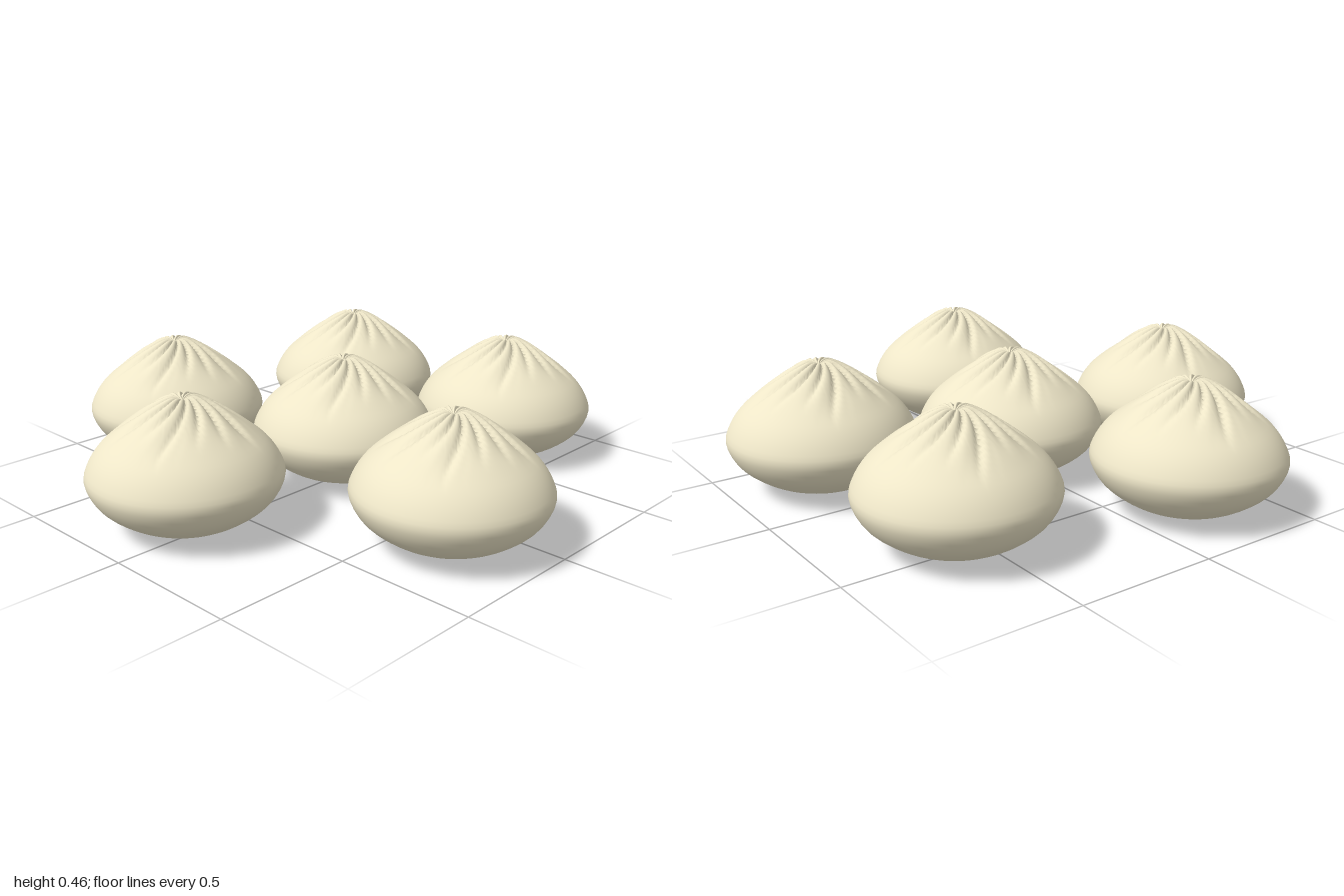
import * as THREE from 'three';
import { mergeVertices } from 'three/addons/utils/BufferGeometryUtils.js';

const PLEATS = 13;
const SEGMENTS = PLEATS * 14;
const RINGS = 44;

// Half outline of a bun: radius, height, from the underside to the gathered top
const OUTLINE = [
  [0, 0.005], [0.1, 0.011], [0.18, 0.034], [0.25, 0.073], [0.305, 0.122],
  [0.335, 0.187], [0.32, 0.24], [0.285, 0.291], [0.235, 0.337], [0.18, 0.381],
  [0.125, 0.422], [0.08, 0.45], [0.045, 0.464], [0.018, 0.458], [0, 0.445],
];

// Fold depth (0..1) around the bun: steep on one side, soft on the other
function foldAt(angle, r) {
  const twist = 0.85 * Math.pow(Math.max(0, 1 - r / 0.26), 1.6);
  const turn = (angle + 1.88 + twist) / (Math.PI * 2);
  const u = (turn - Math.floor(turn)) * PLEATS;
  const index = Math.floor(u + 0.5) % PLEATS;
  const t = u - Math.floor(u);
  const crease = Math.exp(-t * 4.5) + Math.exp(-(1 - t) * 13) * 0.9;
  // Each pleat reaches a slightly different distance down the side
  const reach = 0.25 + 0.035 * Math.sin(index * 2.4);
  const fade = THREE.MathUtils.smoothstep(reach - r, 0, 0.15);
  return Math.min(1, crease) * fade;
}

function bunGeometry() {
  const curve = new THREE.SplineCurve(OUTLINE.map(([r, y]) => new THREE.Vector2(r, y)));
  const points = curve.getPoints(RINGS);
  points.forEach((p) => { p.x = Math.max(0, p.x); });
  let geometry = new THREE.LatheGeometry(points, SEGMENTS);
  geometry.deleteAttribute('uv');
  geometry.deleteAttribute('normal');
  geometry = mergeVertices(geometry, 1e-5);

  // Press the swirling pleats into the upper surface
  const pos = geometry.attributes.position;
  for (let i = 0; i < pos.count; i++) {
    const x = pos.getX(i), y = pos.getY(i), z = pos.getZ(i);
    const r = Math.hypot(x, z);
    if (y < 0.2 || r < 0.004) continue;
    const fold = foldAt(Math.atan2(z, x), r) * Math.min(1, r / 0.06);
    const inward = 1 - fold * 0.012 / Math.max(r, 0.05);
    pos.setXYZ(i, x * inward, y - fold * 0.028, z * inward);
  }
  geometry.computeVertexNormals();
  return geometry;
}

export function createModel() {
  const group = new THREE.Group();
  group.name = 'steamedBuns';
  const geometry = bunGeometry();
  const dough = new THREE.MeshStandardMaterial({ color: 0xeee6c8 });

  // Loose ring of five buns around a middle one
  const places = {
    backRightBun: [-0.455, -0.563],
    backLeftBun: [0.265, -0.665],
    middleBun: [-0.01, -0.036],
    rightBun: [-0.662, 0.235],
    leftBun: [0.657, 0.155],
    frontBun: [-0.075, 0.66],
  };
  for (const [name, [x, z]] of Object.entries(places)) {
    const bun = new THREE.Mesh(geometry, dough);
    bun.name = name;
    bun.position.set(x, -0.004, z);
    group.add(bun);
  }
  return group;
}
